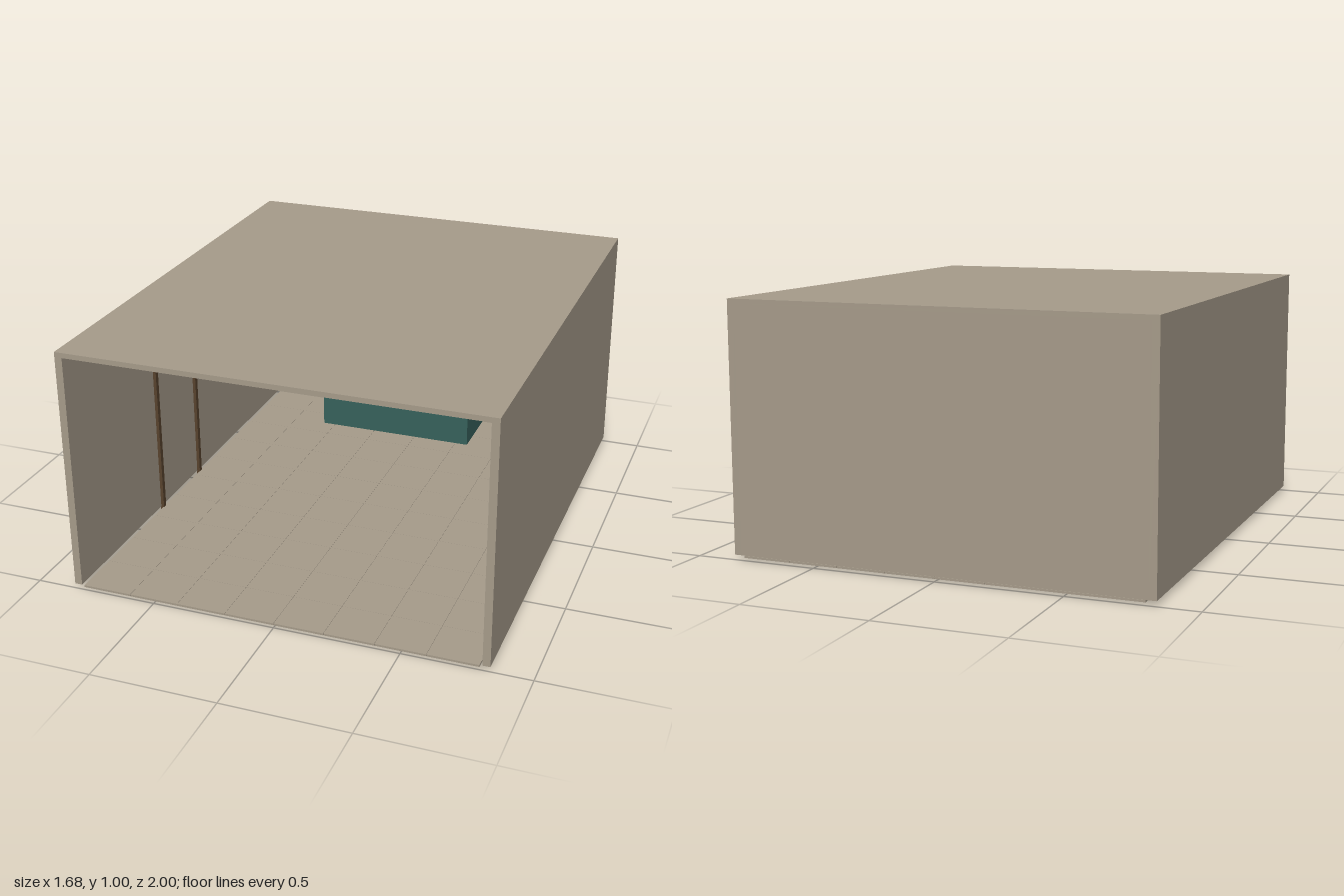
import * as THREE from 'three';

export function createModel() {
  const room = new THREE.Group();
  room.name = 'room';

  const mat = (name, hex) => {
    const m = new THREE.MeshStandardMaterial({ color: hex });
    m.name = name;
    return m;
  };
  const stone = mat('warm grey', 0xa79c8b);
  const wood = mat('dark wood', 0x58432e);
  const teal = mat('teal', 0x37625c);

  // Box given by its lower and upper corners
  const box = (name, material, [x0, y0, z0], [x1, y1, z1], parent = room) => {
    const mesh = new THREE.Mesh(new THREE.BoxGeometry(x1 - x0, y1 - y0, z1 - z0), material);
    mesh.position.set((x0 + x1) / 2, (y0 + y1) / 2, (z0 + z1) / 2);
    mesh.name = name;
    parent.add(mesh);
    return mesh;
  };

  // Shell, open at the front
  box('ceiling', stone, [-0.84, 0.98, -1], [0.84, 1, 1]);
  box('rightWall', stone, [-0.84, 0.02, -1], [-0.81, 0.98, 1]);
  box('leftWall', stone, [0.81, 0.02, -1], [0.84, 0.98, 1]);
  box('backWall', stone, [-0.81, 0.02, -1], [0.81, 0.98, -0.97]);

  // Floor of square tiles with hairline joints
  const floor = new THREE.Group();
  floor.name = 'floor';
  room.add(floor);
  const size = 0.2, joint = 0.0005;
  for (let i = 0; i < 8; i++) {
    for (let j = 0; j < 10; j++) {
      const x = -0.8 + i * size, z = -1 + j * size;
      box('floorTile', stone, [x + joint, 0.011, z + joint],
        [x + size - joint, 0.019, z + size - joint], floor);
    }
  }

  // Door frame on the right wall
  const frame = new THREE.Group();
  frame.name = 'doorFrame';
  room.add(frame);
  for (const z of [-0.045, 0.31]) {
    box('doorPost', wood, [-0.812, 0, z - 0.01], [-0.797, 0.725, z + 0.01], frame);
  }
  box('doorLintel', wood, [-0.812, 0.705, -0.035], [-0.797, 0.725, 0.3], frame);

  // Counter with an overhanging top
  box('counterBase', teal, [-0.455, 0.02, -0.97], [0.257, 0.34, -0.7]);
  box('counterTop', stone, [-0.47, 0.34, -0.97], [0.27, 0.355, -0.685]);

  // Tall cabinet against the back wall
  box('cabinet', wood, [0.515, 0.02, -0.97], [0.743, 0.535, -0.74]);

  // Rounded wooden ornament above the counter
  const ornament = new THREE.Mesh(new THREE.SphereGeometry(1, 12, 9), wood);
  ornament.scale.set(0.043, 0.053, 0.043);
  ornament.position.set(-0.421, 0.632, -0.927);
  ornament.name = 'wallOrnament';
  room.add(ornament);

  return room;
}
